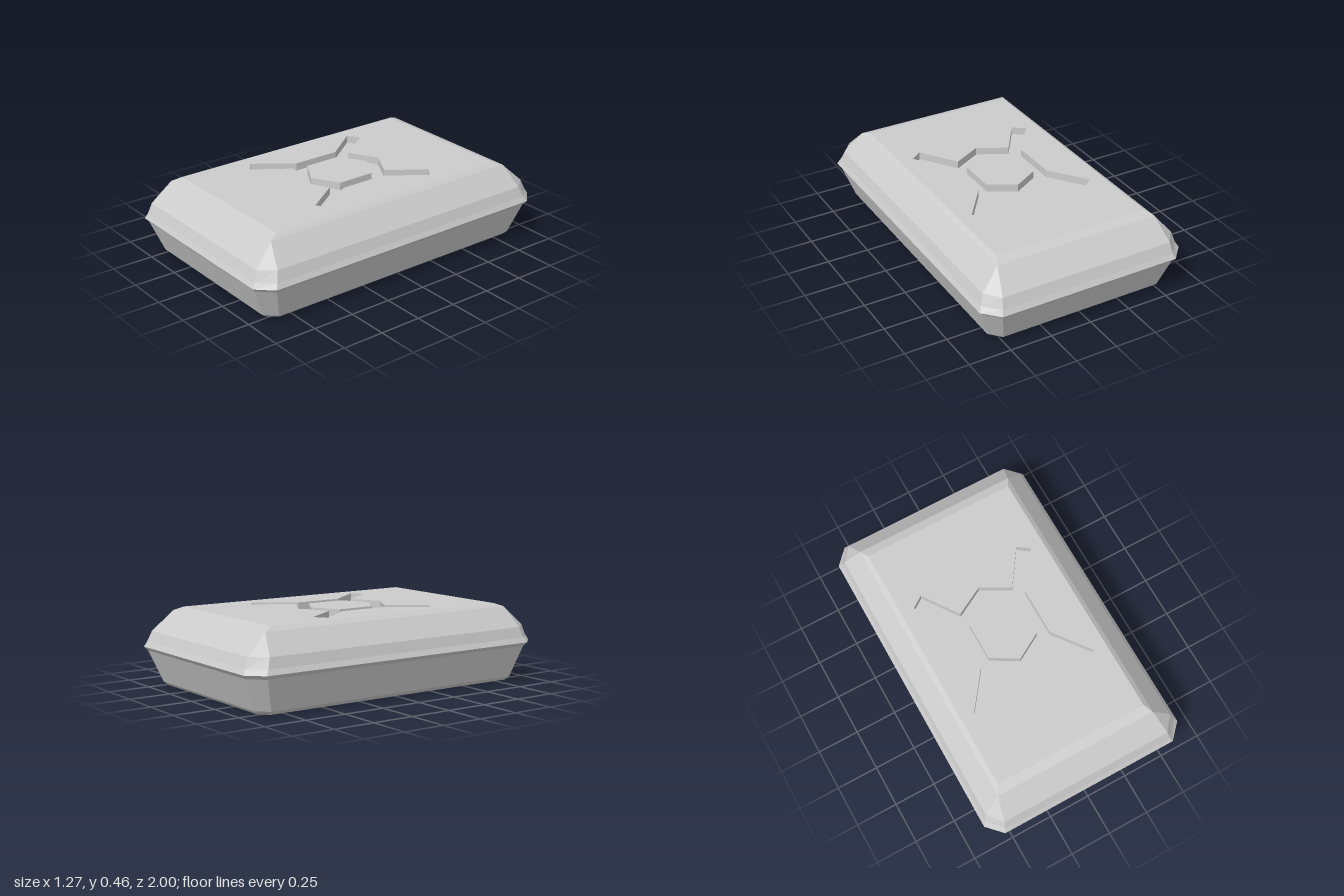
import * as THREE from 'three';

const material = new THREE.MeshStandardMaterial({ color: 0xcccccc, flatShading: true });
const CX = -0.008; // the top panel sits a touch off centre
const TOP = 0.457, FLOOR = 0.412;

// Skin between successive closed rings of Vector3 (counter-clockwise from above = faces outward)
function loft(rings) {
  const pos = [];
  const tri = (a, b, c) => {
    if (new THREE.Triangle(a, b, c).getArea() > 1e-7) pos.push(...a, ...b, ...c);
  };
  for (let r = 0; r < rings.length - 1; r++) {
    const lo = rings[r], hi = rings[r + 1], n = lo.length;
    for (let i = 0; i < n; i++) {
      const j = (i + 1) % n;
      tri(lo[i], lo[j], hi[j]);
      tri(lo[i], hi[j], hi[i]);
    }
  }
  const g = new THREE.BufferGeometry();
  g.setAttribute('position', new THREE.Float32BufferAttribute(pos, 3));
  g.computeVertexNormals();
  return g;
}

// Plan outline [x, -z] lifted to height y
const lift = (outline, y) => outline.map(([x, s]) => new THREE.Vector3(x, y, -s));
const toPoints = (outline) => outline.map(([x, s]) => new THREE.Vector2(x, s));

// Rectangle with cut corners
function cutRect(hx, hz, cx, cz, ox = 0) {
  const a = hx - cx, b = hz - cz;
  return [[hx, -b], [hx, b], [a, hz], [-a, hz], [-hx, b], [-hx, -b], [-a, -hz], [a, -hz]]
    .map(([x, s]) => [x + ox, s]);
}

// Flat horizontal panel, optionally with a hole
function panel(outline, y, hole) {
  const shape = new THREE.Shape(toPoints(outline));
  if (hole) shape.holes.push(new THREE.Path(toPoints(hole)));
  return new THREE.ShapeGeometry(shape).rotateX(-Math.PI / 2).translate(0, y, 0);
}

export function createModel() {
  const model = new THREE.Group();
  const add = (name, geometry, parent = model) => {
    const mesh = new THREE.Mesh(geometry, material);
    mesh.name = name;
    parent.add(mesh);
  };

  // Body sections: y, half width, half depth, corner cut in x and z, x offset
  const sections = [
    [0, 0.535, 0.88, 0.05, 0.055, -0.004],
    [0.022, 0.558, 0.907, 0.063, 0.067, -0.004],
    [0.207, 0.617, 0.98, 0.08, 0.085, 0],
    [0.23, 0.636, 1.0, 0.086, 0.09, 0],
    [0.26, 0.62, 0.983, 0.08, 0.09, 0],
    [0.32, 0.6, 0.958, 0.07, 0.085, -0.003],
    [0.437, 0.497, 0.837, 0, 0, CX],
  ].map(([y, ...rect]) => ({ y, outline: cutRect(...rect) }));
  const topOutline = cutRect(0.468, 0.782, 0, 0, CX);
  const rings = sections.map((s) => lift(s.outline, s.y));
  add('lowerShell', loft(rings.slice(0, 4)));
  add('upperShell', loft([...rings.slice(3), lift(topOutline, TOP)]));
  add('bottomPanel', panel(sections[0].outline, 0).rotateX(Math.PI));

  // Recessed emblem: one quarter of the groove outline, mirrored four ways
  const arm = [[0.225, 0.145], [0.388, 0.362], [0.317, 0.412], [0.171, 0.2]];
  const tip = 0.293;
  const mirror = (sx, sy) => arm.map(([x, s]) => [x * sx, s * sy]);
  const groove = [
    ...mirror(1, 1), [0, tip], ...mirror(-1, 1).reverse(),
    ...mirror(-1, -1), [0, -tip], ...mirror(1, -1).reverse(),
  ].map(([x, s]) => [x + CX, s]);

  // Raised hexagon in the middle of the groove
  const hexagon = [[0.157, -0.115], [0.157, 0.115], [0, 0.205], [-0.157, 0.115], [-0.157, -0.115], [0, -0.205]]
    .map(([x, s]) => [x + CX, s]);

  const rect = [topOutline[0], topOutline[1], topOutline[3], topOutline[5]];
  add('topPanel', panel(rect, TOP, groove));

  const emblem = new THREE.Group();
  emblem.name = 'recessedEmblem';
  model.add(emblem);
  add('grooveWalls', loft([lift(groove, TOP), lift(groove, FLOOR)]), emblem);
  add('grooveFloor', panel(groove, FLOOR, hexagon), emblem);
  add('hexagonWalls', loft([lift(hexagon, FLOOR), lift(hexagon, TOP)]), emblem);
  add('hexagonTop', panel(hexagon, TOP), emblem);

  return model;
}
